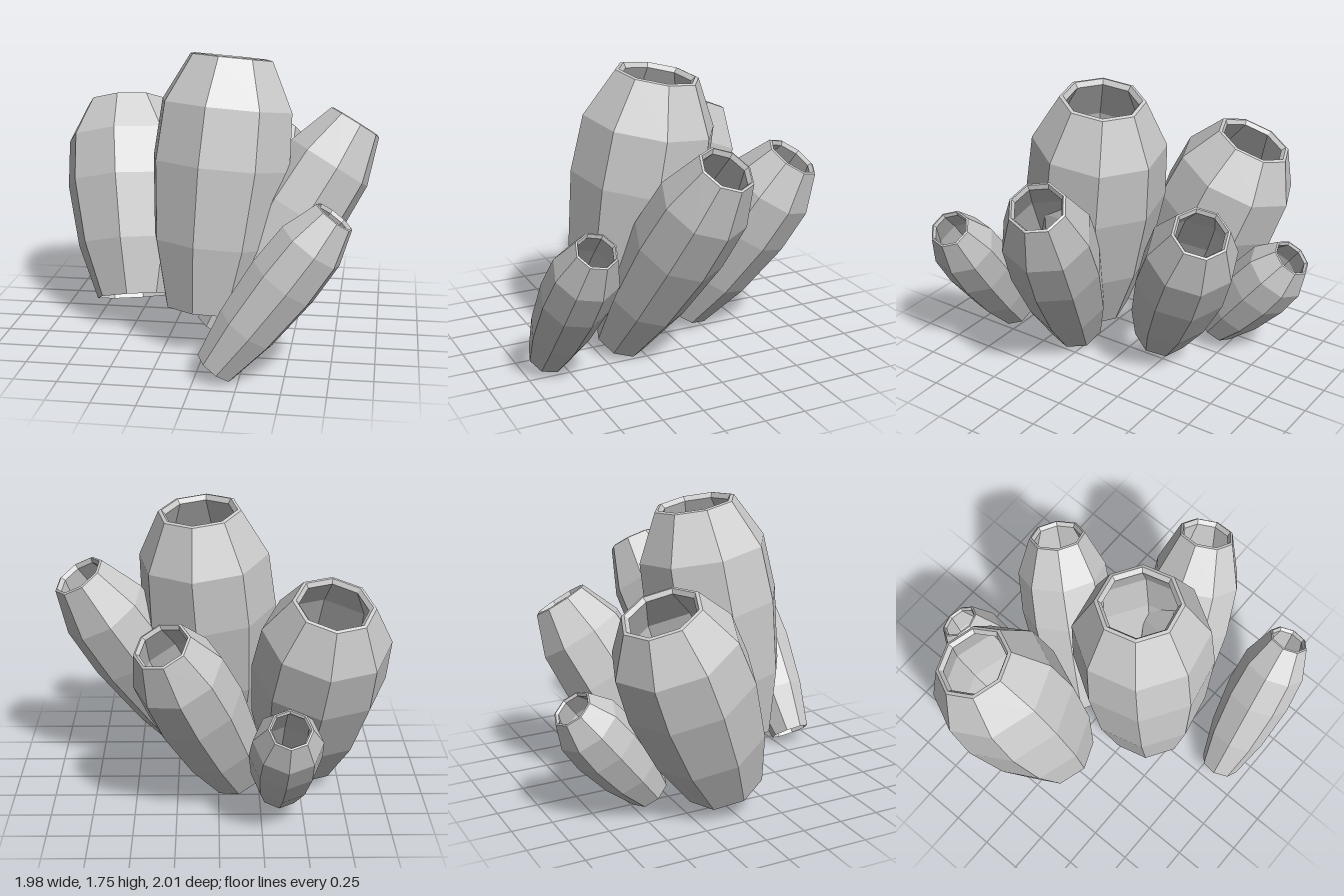
import * as THREE from 'three';

// Closed wall profile: [radius, height], as fractions of belly radius and tube length
const PROFILE = [
  [0.6, 0], [0.87, 0.27], [1, 0.58], [0.95, 0.81], [0.6, 1],       // outer wall
  [0.55, 1.004], [0.5, 0.985],                                     // rounded lip
  [0.82, 0.8], [0.88, 0.58], [0.77, 0.27], [0.6, 0],               // inner wall
];

// Each tube: centre of the base, centre of the mouth, belly radius, spin in degrees
const TUBES = [
  { name: 'centreTube', base: [-0.01, 0.245, 0.33], top: [0.11, 1.71, 0.11], radius: 0.42, spin: -10 },
  { name: 'rightLargeTube', base: [-0.51, 0.17, -0.01], top: [-0.65, 1.325, -0.48], radius: 0.4, spin: 0 },
  { name: 'backLeftTube', base: [-0.11, 0.12, -0.17], top: [0.315, 1.16, -0.69], radius: 0.285, spin: 0 },
  { name: 'leftTube', base: [0.09, 0.1, 0.35], top: [0.835, 1.33, 0.04], radius: 0.28, spin: 10 },
  { name: 'backSmallTube', base: [-0.36, 0.14, -0.43], top: [-0.39, 0.755, -0.91], radius: 0.21, spin: 0 },
  { name: 'frontSmallTube', base: [0.12, 0.08, 0.835], top: [0.757, 0.957, 0.77], radius: 0.205, spin: 10 },
];

const material = new THREE.MeshStandardMaterial({
  color: 0xcccccc, flatShading: true, side: THREE.DoubleSide,
});

// Hollow eight-sided barrel, open at both ends, leaning from base to top
function makeTube({ name, base, top, radius, spin }) {
  const start = new THREE.Vector3(...base);
  const axis = new THREE.Vector3(...top).sub(start);
  const length = axis.length();
  const points = PROFILE.map(([r, h]) => new THREE.Vector2(r * radius, h * length));
  const geometry = new THREE.LatheGeometry(points, 8);
  geometry.rotateY(THREE.MathUtils.degToRad(spin));
  const mesh = new THREE.Mesh(geometry, material);
  mesh.name = name;
  mesh.position.copy(start);
  mesh.quaternion.setFromUnitVectors(new THREE.Vector3(0, 1, 0), axis.normalize());
  return mesh;
}

export function createModel() {
  const group = new THREE.Group();
  group.name = 'tubeCluster';
  for (const tube of TUBES) group.add(makeTube(tube));
  return group;
}
